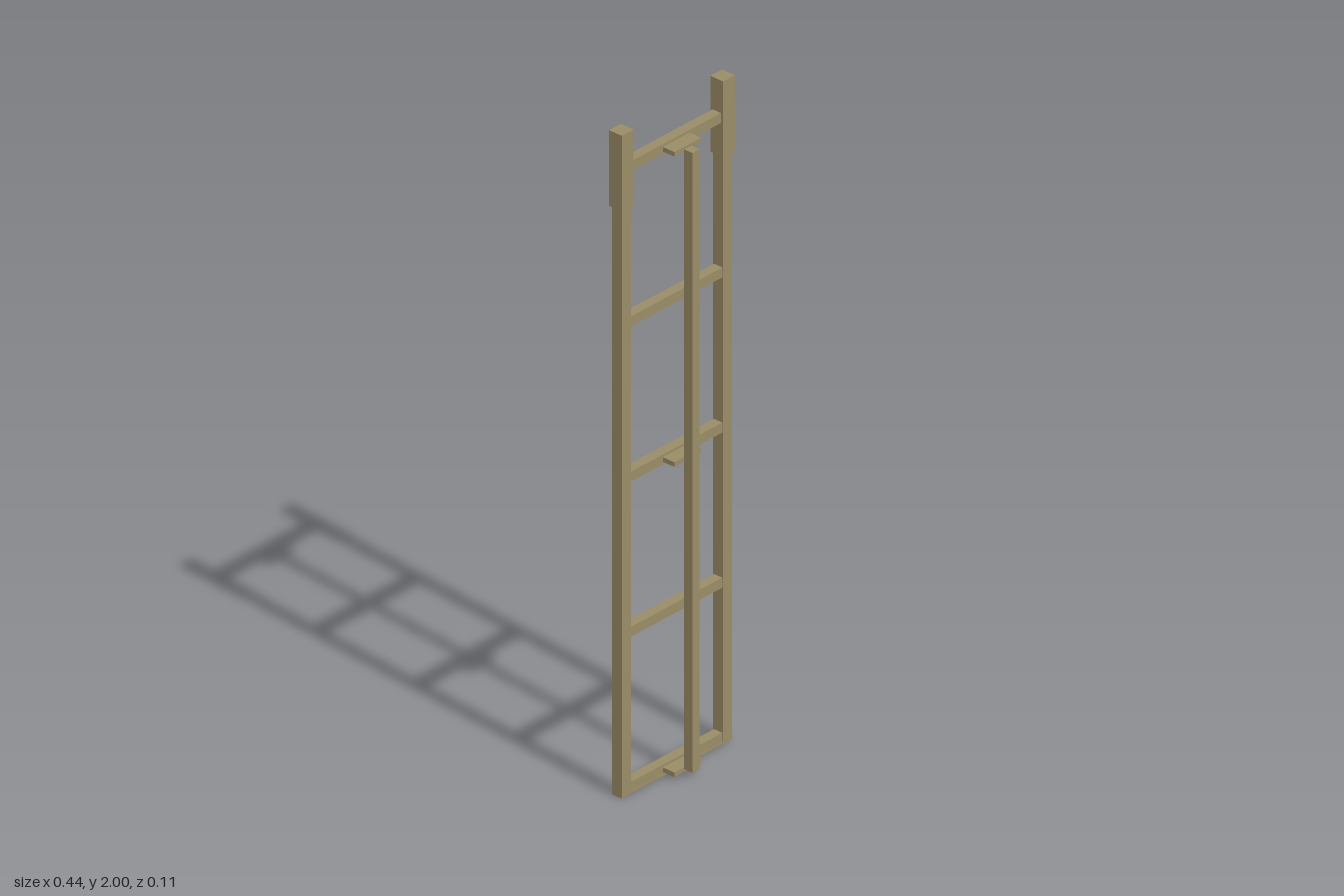
import * as THREE from 'three';

export function createModel() {
  const model = new THREE.Group();
  model.name = 'ladder';
  const material = new THREE.MeshStandardMaterial({ color: 0x9a8c66 });

  // Box given by its extents along each axis
  function bar(name, [x0, x1], [y0, y1], [z0, z1]) {
    const mesh = new THREE.Mesh(new THREE.BoxGeometry(x1 - x0, y1 - y0, z1 - z0), material);
    mesh.position.set((x0 + x1) / 2, (y0 + y1) / 2, (z0 + z1) / 2);
    mesh.name = name;
    model.add(mesh);
  }

  const railX = 0.198, railZ = -0.032;
  const around = (c, size) => [c - size / 2, c + size / 2];

  // Side rails with thicker sleeves at the top
  for (const [side, s] of [['left', 1], ['right', -1]]) {
    bar(side + 'Rail', around(s * railX, 0.035), [0.003, 1.78], around(railZ, 0.035));
    bar(side + 'Sleeve', around(s * railX, 0.046), [1.772, 2], around(railZ, 0.046));
  }

  // Five rungs; every second one carries a bracket for the centre pole
  for (let i = 0; i < 5; i++) {
    const y = 0.019 + i * 0.467;
    bar('rung' + (i + 1), [-0.185, 0.185], around(y, 0.03), around(railZ, 0.03));
    if (i % 2 === 0) bar('bracket' + (i / 2 + 1), around(0, 0.105), around(y, 0.014), [-0.017, 0.024]);
  }

  // Bottom plate closing the frame under the rails
  bar('frameBase', around(0, 2 * railX + 0.035), [0, 0.006], around(railZ, 0.032));

  // Centre pole standing in front of the rungs
  bar('centrePole', around(0, 0.028), [0.02, 1.886], [0.024, 0.053]);

  return model;
}
